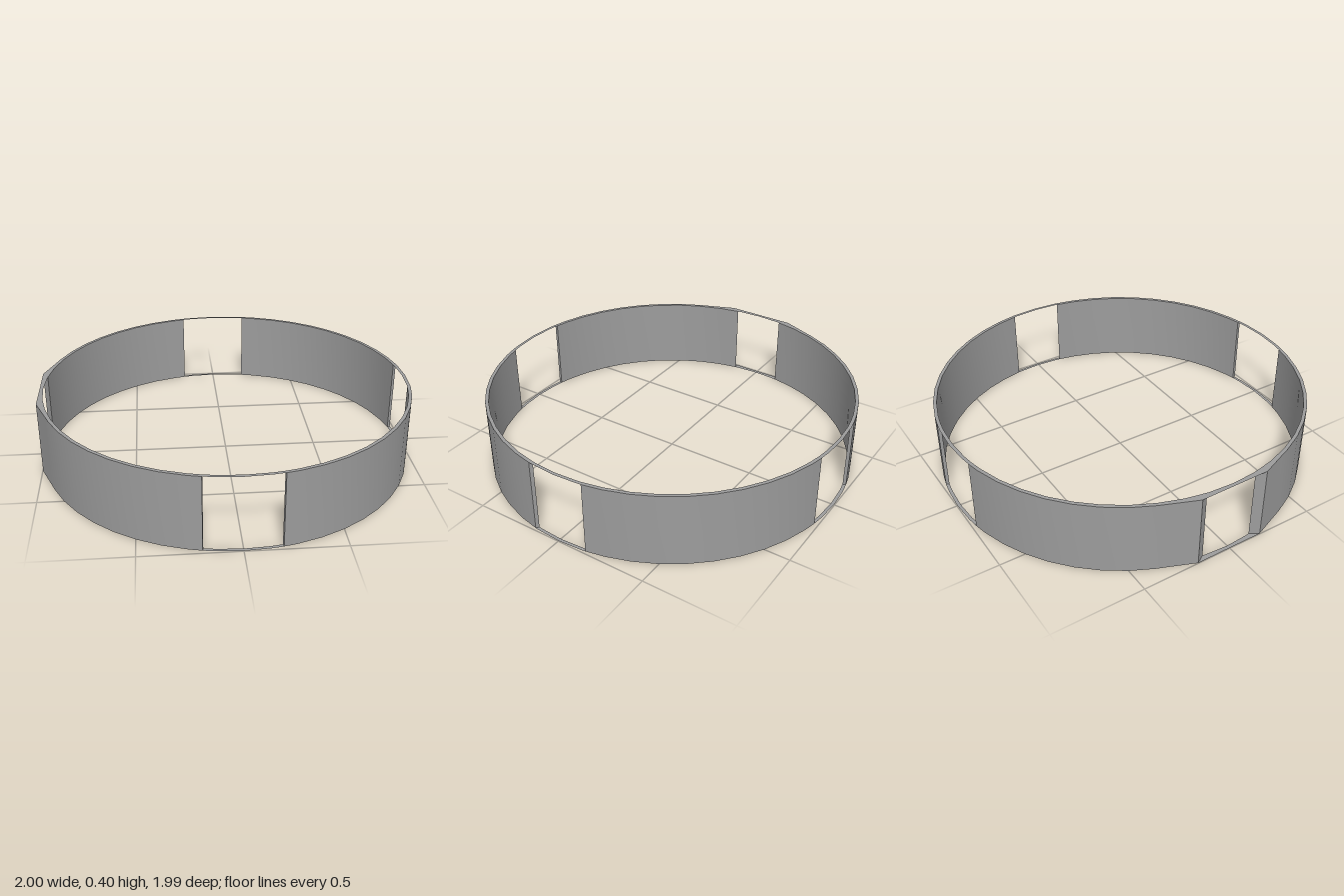
import * as THREE from 'three';
import { toCreasedNormals } from 'three/addons/utils/BufferGeometryUtils.js';

const OUTER = 0.997, INNER = 0.979, HEIGHT = 0.4;
const STEP = 7.5; // facet angle in degrees

const point = (radius, degrees) => {
  const a = THREE.MathUtils.degToRad(degrees);
  return new THREE.Vector2(radius * Math.cos(a), radius * Math.sin(a));
};

// Points along the faceted ring from one angle to another
function arc(radius, from, to) {
  const points = [point(radius, from)];
  for (let a = (Math.floor(from / STEP) + 1) * STEP; a < to; a += STEP) points.push(point(radius, a));
  points.push(point(radius, to));
  return points;
}

export function createModel() {
  const group = new THREE.Group();
  const material = new THREE.MeshStandardMaterial({ color: 0x9c9c9c, side: THREE.DoubleSide });

  const add = (name, geometry, y = 0) => {
    geometry.rotateX(-Math.PI / 2);
    const mesh = new THREE.Mesh(geometry, material);
    mesh.name = name;
    mesh.position.y = y;
    group.add(mesh);
  };

  // Four curved wall panels, mirrored front to back
  const flare = new THREE.Vector2(-0.998, 0.19);
  const leftOutline = [...arc(OUTER, 9, 79), ...arc(INNER, 8.6, 79).reverse()];
  const rightOutline = [...arc(OUTER, 101, 160), flare, ...arc(INNER, 101, 171.6).reverse()];
  for (const [side, outline] of [['left', leftOutline], ['right', rightOutline]]) {
    for (const mirror of [1, -1]) {
      const shape = new THREE.Shape(outline.map((p) => new THREE.Vector2(p.x, p.y * mirror)));
      const geometry = new THREE.ExtrudeGeometry(shape, { depth: HEIGHT, bevelEnabled: false });
      add(`${side}${mirror > 0 ? 'Back' : 'Front'}Wall`, toCreasedNormals(geometry, 0.4));
    }
  }

  // Paper-thin rim strips bridging the gaps at top and bottom
  const gaps = {
    left: [...arc(OUTER, -9, 9), ...arc(INNER, -8.6, 8.6).reverse()],
    back: [...arc(OUTER, 79, 101), ...arc(INNER, 79, 101).reverse()],
    right: [flare, new THREE.Vector2(-0.998, -0.19), ...arc(INNER, 171.6, 188.4).reverse()],
    front: [...arc(OUTER, 259, 281), ...arc(INNER, 259, 281).reverse()],
  };
  for (const [side, outline] of Object.entries(gaps)) {
    for (const [level, y] of [['Bottom', 0], ['Top', HEIGHT]]) {
      add(`${side}${level}RimStrip`, new THREE.ShapeGeometry(new THREE.Shape(outline)), y);
    }
  }
  return group;
}
